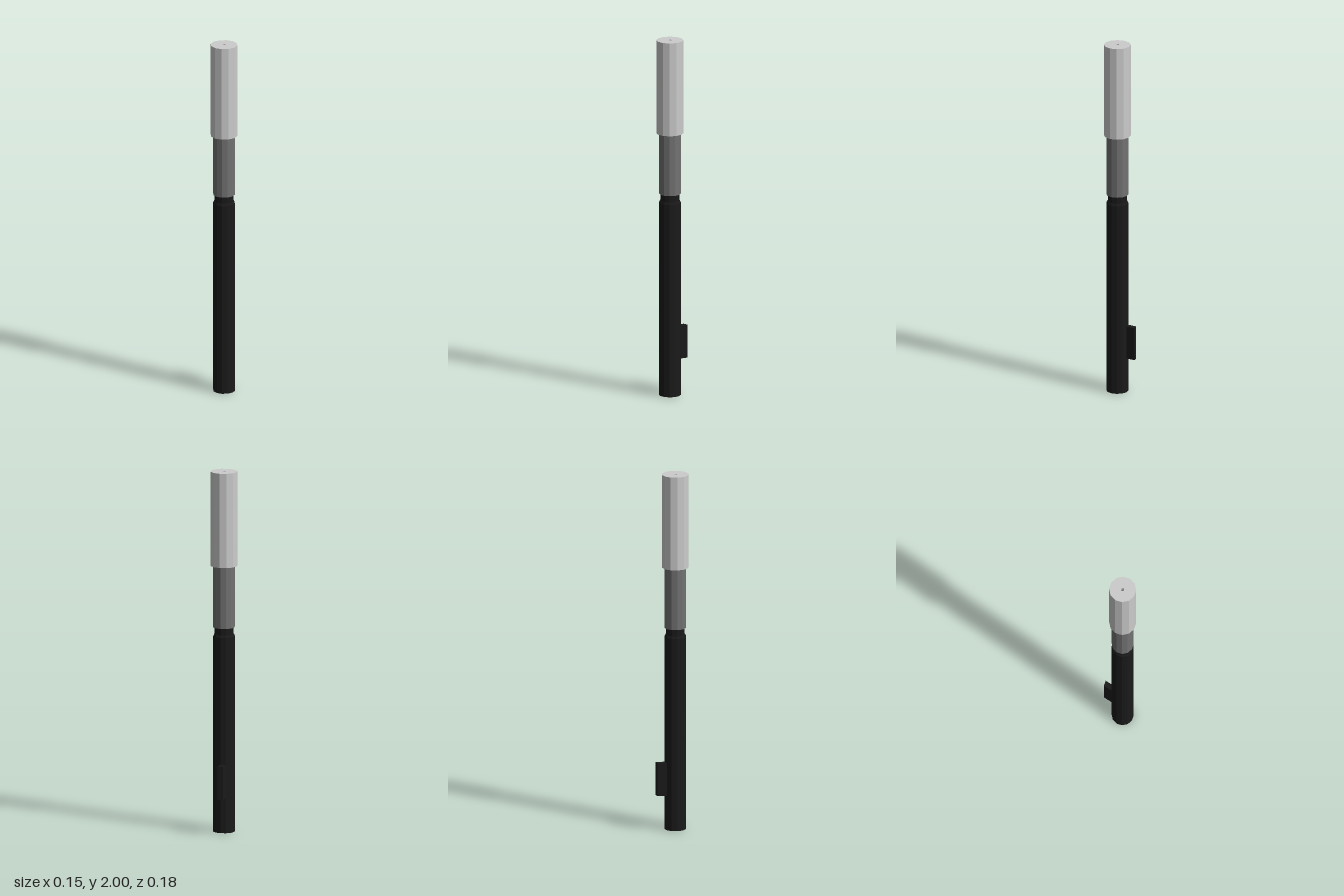
import * as THREE from 'three';

const SIDES = 12;
const AXIS_Z = 0.017;

export function createModel() {
  const group = new THREE.Group();
  const black = new THREE.MeshStandardMaterial({ color: 0x1a1a1a, flatShading: true });
  const darkGrey = new THREE.MeshStandardMaterial({ color: 0x727272, flatShading: true });
  const grey = new THREE.MeshStandardMaterial({ color: 0xcccccc, flatShading: true });

  const add = (name, geometry, material) => {
    const mesh = new THREE.Mesh(geometry, material);
    mesh.name = name;
    group.add(mesh);
    return mesh;
  };
  // Twelve-sided turned part; profile of [radius, y] runs from bottom to top
  const turned = (name, profile, material) => {
    const points = profile.map(([r, y]) => new THREE.Vector2(r, y));
    add(name, new THREE.LatheGeometry(points, SIDES), material).position.z = AXIS_Z;
  };

  // Long grip with a chamfered top edge
  turned('grip', [[0, 0], [0.06, 0], [0.06, 1.085], [0.055, 1.097], [0, 1.097]], black);
  turned('neck', [[0.052, 1.09], [0.052, 1.135]], black);
  turned('shaft', [[0, 1.135], [0.06, 1.135], [0.06, 1.476], [0, 1.476]], darkGrey);

  // Thick head with a small bore in its top
  turned('head', [[0, 1.476], [0.074, 1.476], [0.074, 2], [0.009, 2], [0.009, 1.98]], grey);
  turned('boreFloor', [[0.009, 1.98], [0, 1.98]], darkGrey);

  // Switch: one facet of the grip pulled out to the rear
  const switchShape = new THREE.Shape([
    new THREE.Vector2(0, 0.043),
    new THREE.Vector2(0, 0.093),
    new THREE.Vector2(-0.03, 0.086),
    new THREE.Vector2(-0.03, 0.035),
  ]);
  const switchGeometry = new THREE.ExtrudeGeometry(switchShape, { depth: 0.185, bevelEnabled: false });
  switchGeometry.rotateX(-Math.PI / 2);
  add('switch', switchGeometry, black).position.y = 0.195;

  return group;
}
